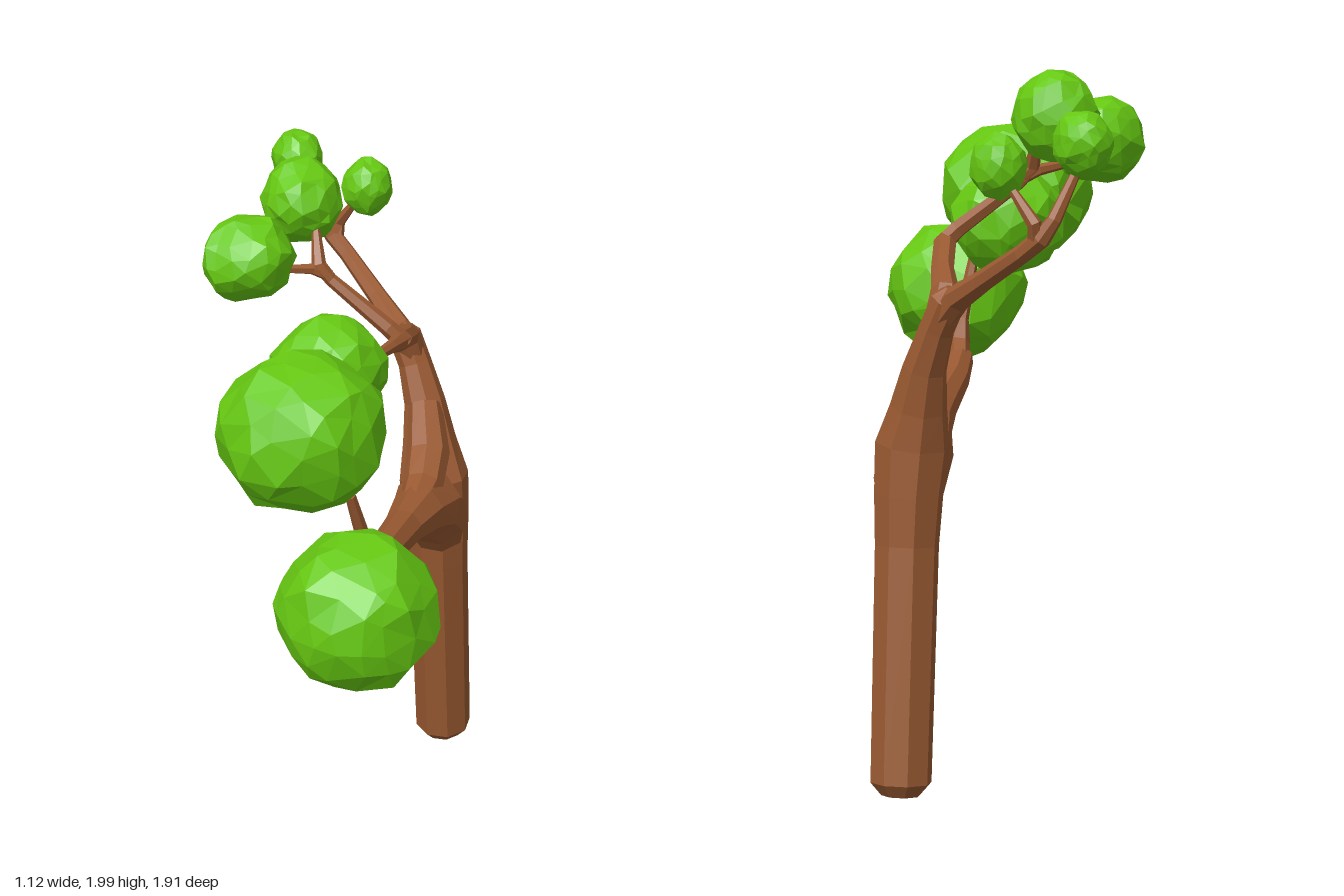
import * as THREE from 'three';

const bark = new THREE.MeshStandardMaterial({ color: 0x9a5a32, flatShading: true });
const leaf = new THREE.MeshStandardMaterial({ color: 0x66c812, flatShading: true });

function seeded(seed) {
  let s = seed * 7919 + 17;
  return () => {
    s = (s * 16807) % 2147483647;
    return s / 2147483647;
  };
}

// Tapered limb: rings of vertices along stations [x, y, z, radius], capped at both ends
function limb(name, stations, sides = 8) {
  const pts = stations.map(([x, y, z]) => new THREE.Vector3(x, y, z));
  const last = pts.length - 1;
  const pos = [], idx = [];
  const normal = new THREE.Vector3(1, 0, 0.3);
  pts.forEach((p, i) => {
    const tangent = pts[Math.min(i + 1, last)].clone().sub(pts[Math.max(i - 1, 0)]).normalize();
    normal.addScaledVector(tangent, -normal.dot(tangent)).normalize();
    const binormal = tangent.clone().cross(normal);
    for (let k = 0; k < sides; k++) {
      const a = (k / sides) * Math.PI * 2;
      const v = p.clone()
        .addScaledVector(normal, Math.cos(a) * stations[i][3])
        .addScaledVector(binormal, Math.sin(a) * stations[i][3]);
      pos.push(v.x, v.y, v.z);
    }
  });
  const startCap = pos.length / 3, endCap = startCap + 1;
  pos.push(...pts[0].toArray(), ...pts[last].toArray());
  for (let k = 0; k < sides; k++) {
    const n = (k + 1) % sides;
    for (let i = 0; i < last; i++) {
      const a = i * sides + k, b = i * sides + n;
      idx.push(a, b, b + sides, a, b + sides, a + sides);
    }
    idx.push(startCap, n, k, endCap, last * sides + k, last * sides + n);
  }
  const g = new THREE.BufferGeometry();
  g.setAttribute('position', new THREE.Float32BufferAttribute(pos, 3));
  g.setIndex(idx);
  g.computeVertexNormals();
  const mesh = new THREE.Mesh(g, bark);
  mesh.name = name;
  return mesh;
}

// Irregular faceted leaf clump, fitted exactly to its centre and size
function clump(name, center, size, seed) {
  const rnd = seeded(seed);
  const g = new THREE.IcosahedronGeometry(1, 2);
  const p = g.attributes.position;
  const moved = new Map();
  const v = new THREE.Vector3();
  for (let i = 0; i < p.count; i++) {
    v.fromBufferAttribute(p, i);
    const key = v.toArray().map((c) => Math.round(c * 1000)).join();
    if (!moved.has(key)) {
      const jitter = new THREE.Vector3(rnd() - 0.5, rnd() - 0.5, rnd() - 0.5).multiplyScalar(0.22);
      moved.set(key, v.clone().add(jitter).normalize().multiplyScalar(0.94 + 0.12 * rnd()));
    }
    p.setXYZ(i, ...moved.get(key).toArray());
  }
  g.computeBoundingBox();
  const mid = g.boundingBox.getCenter(new THREE.Vector3());
  const ext = g.boundingBox.getSize(new THREE.Vector3());
  g.translate(-mid.x, -mid.y, -mid.z);
  g.scale(size[0] / ext.x, size[1] / ext.y, size[2] / ext.z);
  g.translate(...center);
  g.computeVertexNormals();
  const mesh = new THREE.Mesh(g, leaf);
  mesh.name = name;
  return mesh;
}

export function createModel() {
  const tree = new THREE.Group();
  tree.name = 'tree';

  // Trunk, continuing into the upright bough
  tree.add(limb('trunk', [
    [0.48, 0.015, -0.39, 0.055], [0.477, 0.05, -0.387, 0.086], [0.42, 0.7, -0.322, 0.09],
    [0.41, 0.84, -0.315, 0.097], [0.395, 0.98, -0.31, 0.105], [0.395, 1.09, -0.345, 0.08],
    [0.395, 1.2, -0.38, 0.062], [0.383, 1.31, -0.425, 0.05], [0.365, 1.39, -0.46, 0.05],
    [0.355, 1.42, -0.475, 0.025],
  ]));

  // Long low bough and the web in its crotch
  tree.add(limb('lowBough', [
    [0.425, 0.74, -0.325, 0.07], [0.39, 0.86, -0.28, 0.1], [0.32, 0.95, -0.2, 0.105],
    [0.24, 0.99, -0.1, 0.08], [0.14, 1.01, 0.01, 0.058], [-0.02, 1.05, 0.2, 0.048],
    [-0.115, 1.085, 0.33, 0.042], [-0.15, 1.11, 0.42, 0.028], [-0.22, 1.145, 0.64, 0.016],
  ]));
  tree.add(limb('crotch', [
    [0.2, 1.005, -0.06, 0.045], [0.29, 1.03, -0.17, 0.06], [0.35, 1.09, -0.26, 0.065],
    [0.385, 1.2, -0.355, 0.05],
  ]));
  tree.add(limb('lowBoughShoot', [
    [-0.1, 1.085, 0.31, 0.035], [-0.13, 1.13, 0.365, 0.036], [-0.15, 1.2, 0.38, 0.022],
    [-0.21, 1.38, 0.41, 0.015],
  ], 6));

  // Front upper branch with its forked shoot
  tree.add(limb('frontBranch', [
    [0.38, 1.33, -0.43, 0.04], [0.35, 1.41, -0.415, 0.04], [0.3, 1.455, -0.31, 0.032],
    [0.225, 1.51, -0.19, 0.032], [0.16, 1.53, -0.12, 0.02], [0.05, 1.545, -0.03, 0.013],
  ], 7));
  tree.add(limb('frontShoot', [
    [0.235, 1.5, -0.18, 0.028], [0.19, 1.55, -0.205, 0.025], [0.06, 1.68, -0.315, 0.019],
    [0.03, 1.725, -0.335, 0.022], [0.045, 1.83, -0.39, 0.011],
  ], 6));
  tree.add(limb('frontShootFork', [
    [0.06, 1.69, -0.32, 0.018], [0.01, 1.715, -0.335, 0.017], [-0.09, 1.73, -0.34, 0.011],
  ], 6));

  // Back upper branch ending in two twigs
  tree.add(limb('backBranch', [
    [0.38, 1.33, -0.435, 0.04], [0.363, 1.4, -0.5, 0.038], [0.345, 1.46, -0.61, 0.03],
    [0.315, 1.545, -0.76, 0.026], [0.29, 1.59, -0.815, 0.027], [0.265, 1.64, -0.84, 0.02],
    [0.195, 1.78, -0.85, 0.012],
  ], 7));
  tree.add(limb('backTwig', [
    [0.295, 1.57, -0.8, 0.022], [0.31, 1.63, -0.815, 0.02], [0.345, 1.72, -0.755, 0.011],
  ], 6));

  // Leaf clumps: centre, size
  [
    [[-0.345, 1.225, 0.75], [0.43, 0.43, 0.41]],
    [[-0.33, 1.57, 0.36], [0.46, 0.44, 0.44]],
    [[-0.08, 1.545, -0.02], [0.34, 0.33, 0.31]],
    [[-0.19, 1.79, -0.325], [0.28, 0.24, 0.24]],
    [[0.04, 1.875, -0.465], [0.24, 0.25, 0.23]],
    [[0.197, 1.835, -0.868], [0.15, 0.17, 0.18]],
    [[0.357, 1.775, -0.715], [0.15, 0.18, 0.15]],
  ].forEach(([center, size], i) => tree.add(clump(`leafClump${i + 1}`, center, size, i + 3)));

  return tree;
}
